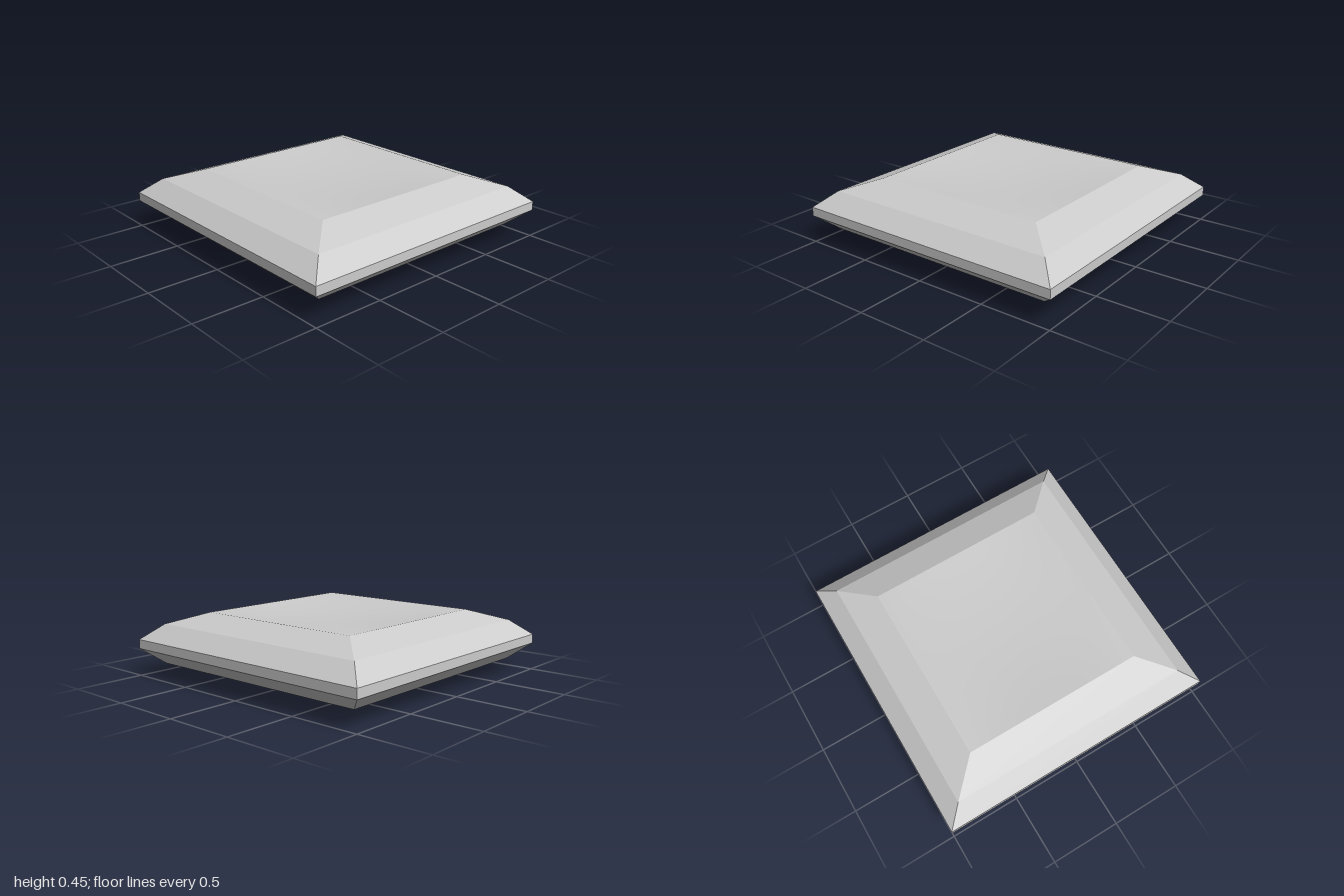
import * as THREE from 'three';

const flat = new THREE.MeshStandardMaterial({ color: 0xcccccc, flatShading: true });
const smooth = new THREE.MeshStandardMaterial({ color: 0xcccccc });

// half width and height of each square ring, bottom to top
const RINGS = [[0.645, 0], [0.87, 0.085], [1, 0.195], [1, 0.26], [0.87, 0.37], [0.645, 0.45]];
const BANDS = ['lowerInnerBevel', 'lowerOuterBevel', 'rim', 'upperOuterBevel', 'upperInnerBevel'];
const HALF = 0.645;
const DISH_DEPTH = 0.03;

// four-sided band between two square rings
function band(name, [r0, y0], [r1, y1]) {
  const geo = new THREE.CylinderGeometry(r1 * Math.SQRT2, r0 * Math.SQRT2, y1 - y0, 4, 1, true, Math.PI / 4);
  geo.translate(0, (y0 + y1) / 2, 0);
  const mesh = new THREE.Mesh(geo, flat);
  mesh.name = name;
  return mesh;
}

// square panel that sinks gently towards its middle
function dishedPanel(name, y, down) {
  const geo = new THREE.PlaneGeometry(HALF * 2, HALF * 2, 24, 24);
  const pos = geo.attributes.position;
  for (let i = 0; i < pos.count; i++) {
    const u = pos.getX(i) / HALF, v = pos.getY(i) / HALF;
    pos.setZ(i, -DISH_DEPTH * (1 - u * u) * (1 - v * v));
  }
  geo.rotateX(down ? Math.PI / 2 : -Math.PI / 2);
  geo.translate(0, y, 0);
  geo.computeVertexNormals();
  const mesh = new THREE.Mesh(geo, smooth);
  mesh.name = name;
  return mesh;
}

export function createModel() {
  const model = new THREE.Group();
  model.name = 'bevelledSquareDish';
  BANDS.forEach((name, i) => model.add(band(name, RINGS[i], RINGS[i + 1])));
  model.add(dishedPanel('topPanel', 0.45, false));
  model.add(dishedPanel('bottomPanel', 0, true));
  return model;
}
